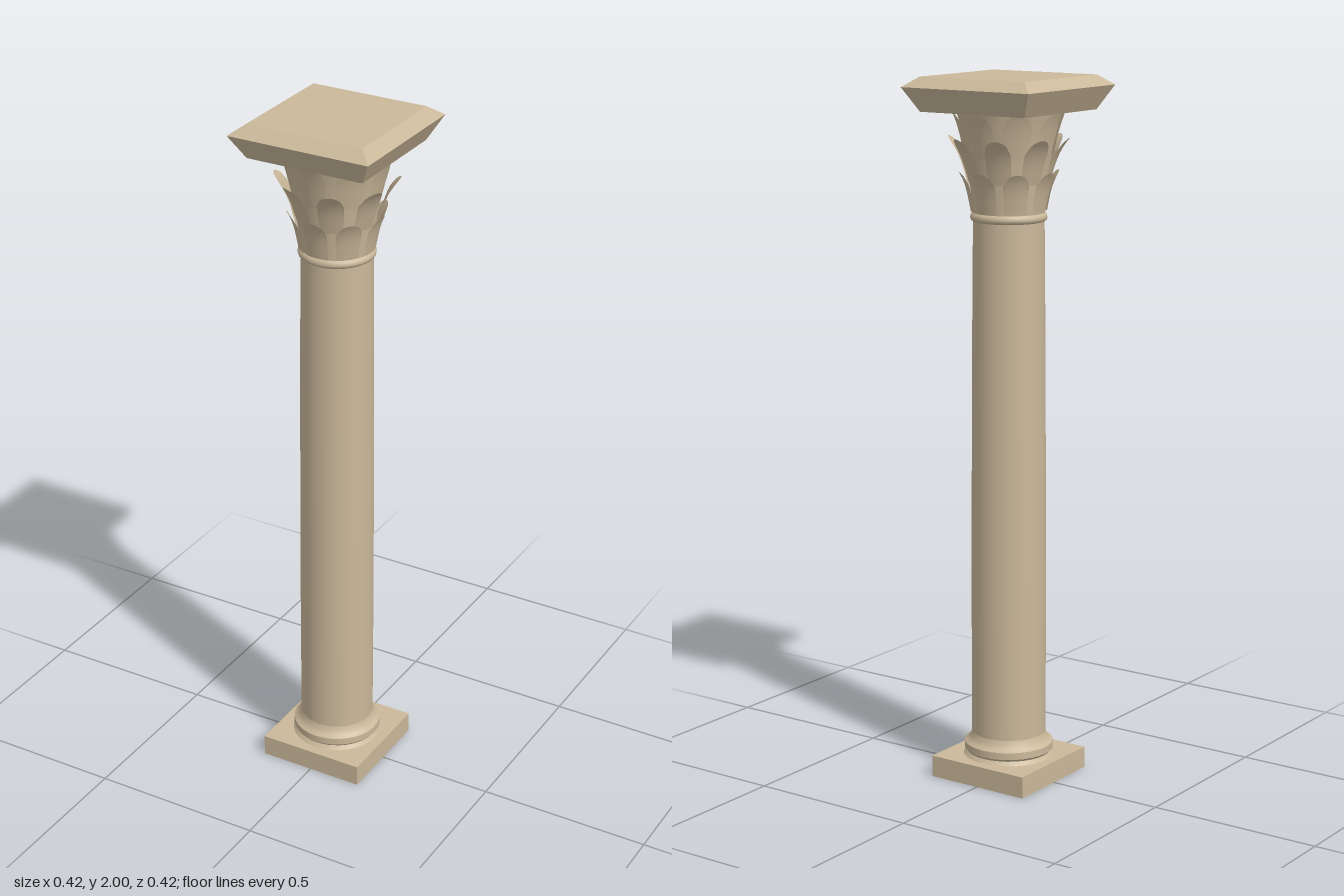
import * as THREE from 'three';

const stone = new THREE.MeshStandardMaterial({ color: 0xcab89a, side: THREE.DoubleSide });
stone.name = 'sandstone';

function add(parent, geometry, name) {
  const mesh = new THREE.Mesh(geometry, stone);
  mesh.name = name;
  parent.add(mesh);
  return mesh;
}

// Straight-sided turned band between two [radius, height] points
function band([r0, y0], [r1, y1], segments = 32) {
  const g = new THREE.CylinderGeometry(r1, r0, y1 - y0, segments, 1, true);
  return g.translate(0, (y0 + y1) / 2, 0);
}

const lathe = (points, segments = 32) =>
  new THREE.LatheGeometry(points.map(([r, y]) => new THREE.Vector2(r, y)), segments);

// Four-sided frustum given by half widths, aligned with the axes
function squareBand(h0, y0, h1, y1) {
  const g = new THREE.CylinderGeometry(h1 * Math.SQRT2, h0 * Math.SQRT2, y1 - y0, 4, 1, true);
  g.rotateY(Math.PI / 4).translate(0, (y0 + y1) / 2, 0);
  const flat = g.toNonIndexed();
  flat.computeVertexNormals();
  return flat;
}

function squareCap(half, y, up) {
  return new THREE.PlaneGeometry(half * 2, half * 2).rotateX(up ? -Math.PI / 2 : Math.PI / 2).translate(0, y, 0);
}

// Curved leaf wrapped round the bell, flaring out towards a rounded tip
function leafGeometry({ y0, y1, r0, r1, w0, w1, curl }) {
  const nu = 8, nv = 12;
  const g = new THREE.PlaneGeometry(1, 1, nu, nv);
  const p = g.attributes.position;
  for (let i = 0; i < p.count; i++) {
    const u = p.getX(i) * 2, v = p.getY(i) + 0.5;
    const shoulder = 1 - 0.36 * (1 - Math.sqrt(1 - u * u * 0.98));
    const t = v * shoulder;
    const r = r0 + (r1 - r0) * t + curl * t ** 4;
    const x = u * (w0 + (w1 - w0) * t) / 2;
    const angle = x / r;
    p.setXYZ(i, r * Math.sin(angle), y0 + (y1 - y0) * t, r * Math.cos(angle));
  }
  g.computeVertexNormals();
  return g;
}

export function createModel() {
  const column = new THREE.Group();
  column.name = 'column';

  // Square plinth, hollow underneath
  const plinth = new THREE.Group();
  plinth.name = 'plinth';
  column.add(plinth);
  add(plinth, squareBand(0.158, 0, 0.158, 0.062), 'plinthSides');
  add(plinth, squareCap(0.158, 0.062, true), 'plinthTop');

  // Base moulding
  const base = new THREE.Group();
  base.name = 'baseMoulding';
  column.add(base);
  const rings = [[0.13, 0.062], [0.121, 0.073], [0.127, 0.08], [0.127, 0.1]];
  for (let i = 0; i < rings.length - 1; i++) add(base, band(rings[i], rings[i + 1]), 'baseRing');
  add(base, lathe([[0.127, 0.1], [0.117, 0.107], [0.11, 0.117], [0.106, 0.13]]), 'baseCove');

  // Slightly tapering shaft
  add(column, lathe([[0.106, 0.13], [0.106, 0.5], [0.1045, 0.9], [0.102, 1.3], [0.099, 1.605]]), 'shaft');

  // Neck ring
  add(column, lathe([[0.099, 1.603], [0.105, 1.607], [0.107, 1.614], [0.105, 1.622], [0.099, 1.627]]), 'neckRing');

  // Capital: bell with three staggered rows of eight leaves
  const capital = new THREE.Group();
  capital.name = 'capital';
  column.add(capital);
  add(capital, lathe([[0.099, 1.622], [0.103, 1.67], [0.111, 1.74], [0.123, 1.82], [0.137, 1.88], [0.145, 1.906]]), 'bell');

  const rows = [
    { y0: 1.63, y1: 1.742, r0: 0.105, r1: 0.126, w0: 0.06, w1: 0.078, curl: 0.014, turn: 0 },
    { y0: 1.71, y1: 1.835, r0: 0.113, r1: 0.15, w0: 0.062, w1: 0.078, curl: 0.021, turn: 0.5 },
    { y0: 1.78, y1: 1.902, r0: 0.121, r1: 0.148, w0: 0.058, w1: 0.094, curl: 0.007, turn: 0 },
  ];
  for (const row of rows) {
    const geometry = leafGeometry(row);
    for (let k = 0; k < 8; k++) add(capital, geometry, 'leaf').rotation.y = (k + row.turn) * Math.PI / 4;
  }

  // Abacus slab with bevelled faces
  const abacus = new THREE.Group();
  abacus.name = 'abacus';
  column.add(abacus);
  add(abacus, squareCap(0.173, 1.905, false), 'abacusUnderside');
  add(abacus, squareBand(0.173, 1.905, 0.21, 1.972), 'abacusLowerBevel');
  add(abacus, squareBand(0.21, 1.972, 0.173, 2), 'abacusUpperBevel');
  add(abacus, squareCap(0.173, 2, true), 'abacusTop');

  return column;
}
